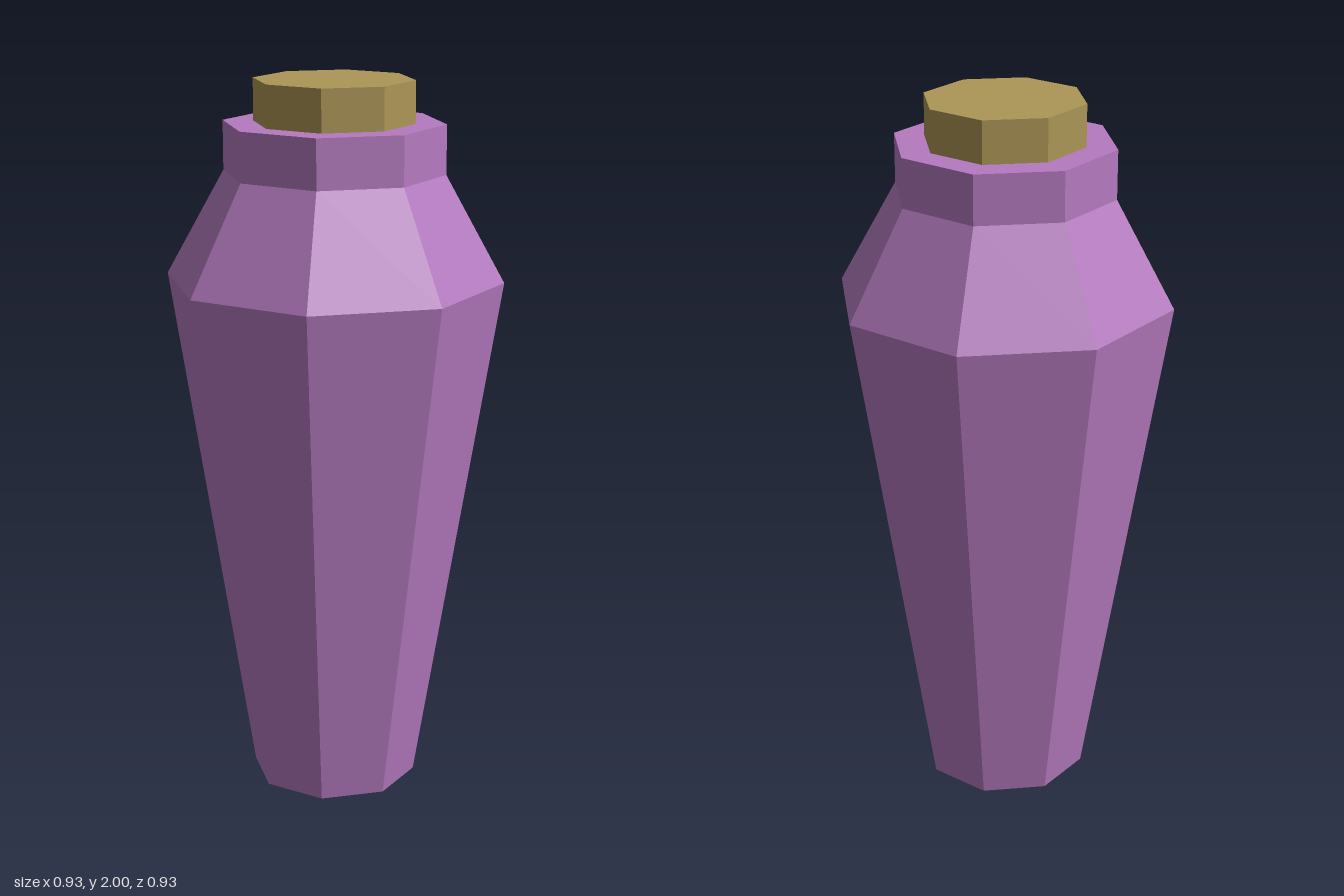
import * as THREE from 'three';

const SIDES = 8;

// Faceted solid turned from a [radius, height] profile, listed bottom to top
function turned(name, color, profile) {
  const points = profile.map(([r, y]) => new THREE.Vector2(r, y));
  const material = new THREE.MeshStandardMaterial({ color, flatShading: true });
  const mesh = new THREE.Mesh(new THREE.LatheGeometry(points, SIDES), material);
  mesh.name = name;
  return mesh;
}

export function createModel() {
  const group = new THREE.Group();
  group.name = 'bottle';

  // Tapered body, sloping shoulder and straight neck
  group.add(turned('bottleBody', 0xb57bc0, [
    [0, 0], [0.234, 0], [0.466, 1.46], [0.304, 1.75], [0.304, 1.885], [0, 1.885],
  ]));

  // Stopper standing on the neck
  group.add(turned('stopper', 0xac9656, [
    [0, 1.885], [0.22, 1.885], [0.22, 2], [0, 2],
  ]));

  return group;
}
